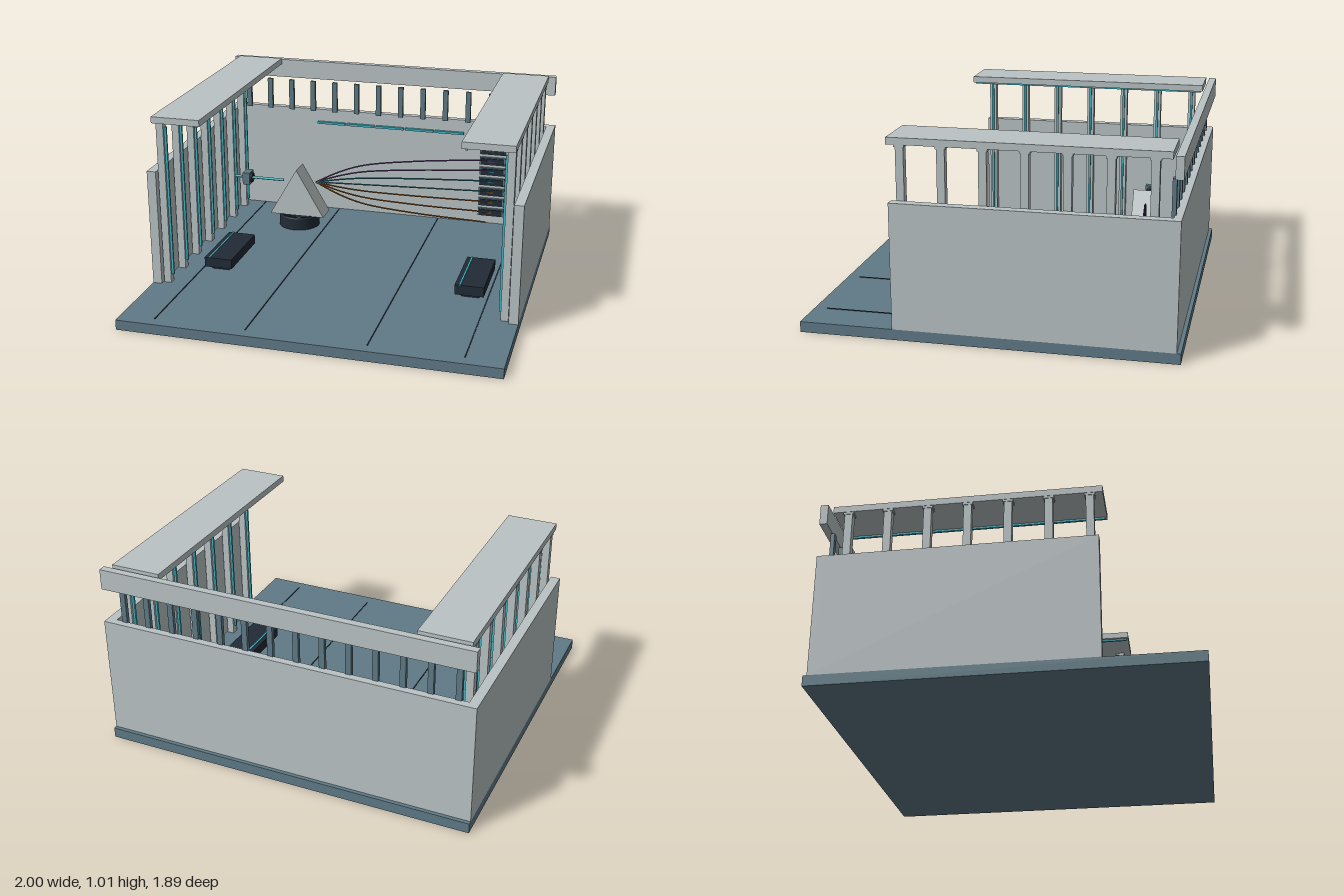
import * as THREE from 'three';

const mat = (name, color) => {
  const m = new THREE.MeshStandardMaterial({ color });
  m.name = name;
  return m;
};

export function createModel() {
  const root = new THREE.Group();
  root.name = 'prismGallery';
  const stone = mat('pale stone', 0xbac3c5);
  const slate = mat('slate blue', 0x5f7a86);
  const dark = mat('dark metal', 0x212b36);
  const cyan = mat('cyan light', 0x3fb6c6);
  const violet = mat('violet ray', 0x61407a);
  const teal = mat('teal ray', 0x1f6f7c);
  const amber = mat('amber ray', 0x8a5216);

  const add = (name, geometry, material, parent = root) => {
    const m = new THREE.Mesh(geometry, material);
    m.name = name;
    parent.add(m);
    return m;
  };
  // Box given by its two corners on each axis
  const box = (name, material, [x0, x1], [y0, y1], [z0, z1], parent = root) => {
    const m = add(name, new THREE.BoxGeometry(Math.abs(x1 - x0), y1 - y0, z1 - z0), material, parent);
    m.position.set((x0 + x1) / 2, (y0 + y1) / 2, (z0 + z1) / 2);
    return m;
  };

  // Floor with thin inlaid seams
  box('floor', slate, [-1, 1], [0, 0.055], [-0.95, 0.945]);
  for (const x of [-0.81, -0.32, 0.315, 0.8])
    box('floorSeam', dark, [x - 0.003, x + 0.003], [0.055, 0.058], [-0.88, 0.88]);

  // Back wall, short slats above it and the top beam
  box('backWall', stone, [-1, 1], [0.055, 0.7], [-0.93, -0.89]);
  for (let i = 0; i < 14; i++) {
    const x = -0.9 + i * 0.1383;
    box('backSlat', slate, [x - 0.015, x + 0.015], [0.69, 0.877], [-0.897, -0.876]);
  }
  box('backBeam', stone, [-0.99, 0.99], [0.89, 1], [-0.935, -0.895]);

  // Light bars on the back wall
  for (let i = 0; i < 5; i++) {
    const x = -0.455 + i * 0.185;
    box('wallLight', cyan, [x, x + 0.175], [0.612, 0.625], [-0.89, -0.87]);
  }

  // Side walls, each with a colonnade and a canopy
  for (const s of [-1, 1]) {
    const side = new THREE.Group();
    side.name = s < 0 ? 'rightSide' : 'leftSide';
    root.add(side);
    box('sideWall', stone, [s * 0.95, s], [0.055, 0.7], [-0.93, 0.465], side);
    box('canopy', stone, [s * 0.683, s * 0.95], [0.975, 1.01], [-0.88, 0.485], side);
    box('canopyLight', cyan, [s * 0.7, s * 0.712], [0.965, 0.975], [-0.87, 0.475], side);
    for (let i = 0; i < 7; i++) {
      const z = 0.42 - i * 0.2035;
      box('column', stone, [s * 0.905, s * 0.945], [0.055, 0.976], [z - 0.02, z + 0.02], side);
      box('capital', stone, [s * 0.902, s * 0.948], [0.963, 0.976], [z - 0.026, z + 0.026], side);
      box('columnLight', cyan, [s * 0.893, s * 0.905], [0.1, 0.94], [z - 0.006, z + 0.006], side);
    }
    // Bench with a light line on its top
    const x = s * 0.707;
    box('bench', dark, [x - 0.079, x + 0.079], [0.08, 0.135], [-0.15, 0.24], side);
    box('benchFoot', dark, [x - 0.05, x + 0.05], [0.055, 0.08], [-0.11, 0.2], side);
    box('benchLight', cyan, [x - 0.056, x - 0.046], [0.135, 0.139], [-0.15, 0.24], side);
  }

  // Ring pedestal
  const ring = [[0.106, 0.055], [0.122, 0.055], [0.122, 0.125], [0.118, 0.133], [0.106, 0.133], [0.106, 0.055]]
    .map(([x, y]) => new THREE.Vector2(x, y));
  const ringMat = dark;
  const pedestal = add('pedestalRing', new THREE.LatheGeometry(ring, 40).toNonIndexed(), ringMat);
  pedestal.geometry.computeVertexNormals();
  pedestal.position.set(-0.49, 0, -0.587);

  // Triangular prism
  const tri = new THREE.Shape([
    new THREE.Vector2(-0.655, 0.13), new THREE.Vector2(-0.32, 0.13), new THREE.Vector2(-0.4875, 0.42)]);
  add('prism', new THREE.ExtrudeGeometry(tri, { depth: 0.135, bevelEnabled: false }), stone).position.z = -0.655;

  // Incoming beam and its emitter
  const beam = add('incomingBeam', new THREE.CylinderGeometry(0.008, 0.008, 0.31, 12), cyan);
  beam.rotation.z = Math.PI / 2;
  beam.position.set(-0.745, 0.325, -0.59);
  box('emitter', slate, [-0.842, -0.797], [0.287, 0.362], [-0.628, -0.552]);
  const lens = add('emitterLens', new THREE.TorusGeometry(0.024, 0.009, 8, 24), dark);
  lens.rotation.y = Math.PI / 2;
  lens.position.set(-0.794, 0.325, -0.59);

  // Fanned rays and the detectors on the back wall
  const rayMats = [violet, violet, teal, teal, amber, amber, amber];
  rayMats.forEach((m, i) => {
    const y = 0.523 - i * 0.0657;
    const at = (x, f) => new THREE.Vector3(x, 0.325 + (y - 0.325) * f, -0.605 - (x + 0.39) * 0.102);
    const path = new THREE.CatmullRomCurve3([at(-0.39, 0), at(-0.25, 0.36), at(-0.1, 0.62), at(0.2, 0.83), at(0.64, 1)]);
    add('ray', new THREE.TubeGeometry(path, 32, 0.0045, 6), m);
    box('detectorFrame', slate, [0.565, 0.72], [y - 0.024, y + 0.024], [-0.89, -0.877]);
    box('detectorFace', dark, [0.573, 0.712], [y - 0.018, y + 0.018], [-0.878, -0.87]);
    box('detectorMark', m, [0.62, 0.655], [y - 0.003, y + 0.003], [-0.872, -0.867]);
  });

  return root;
}
